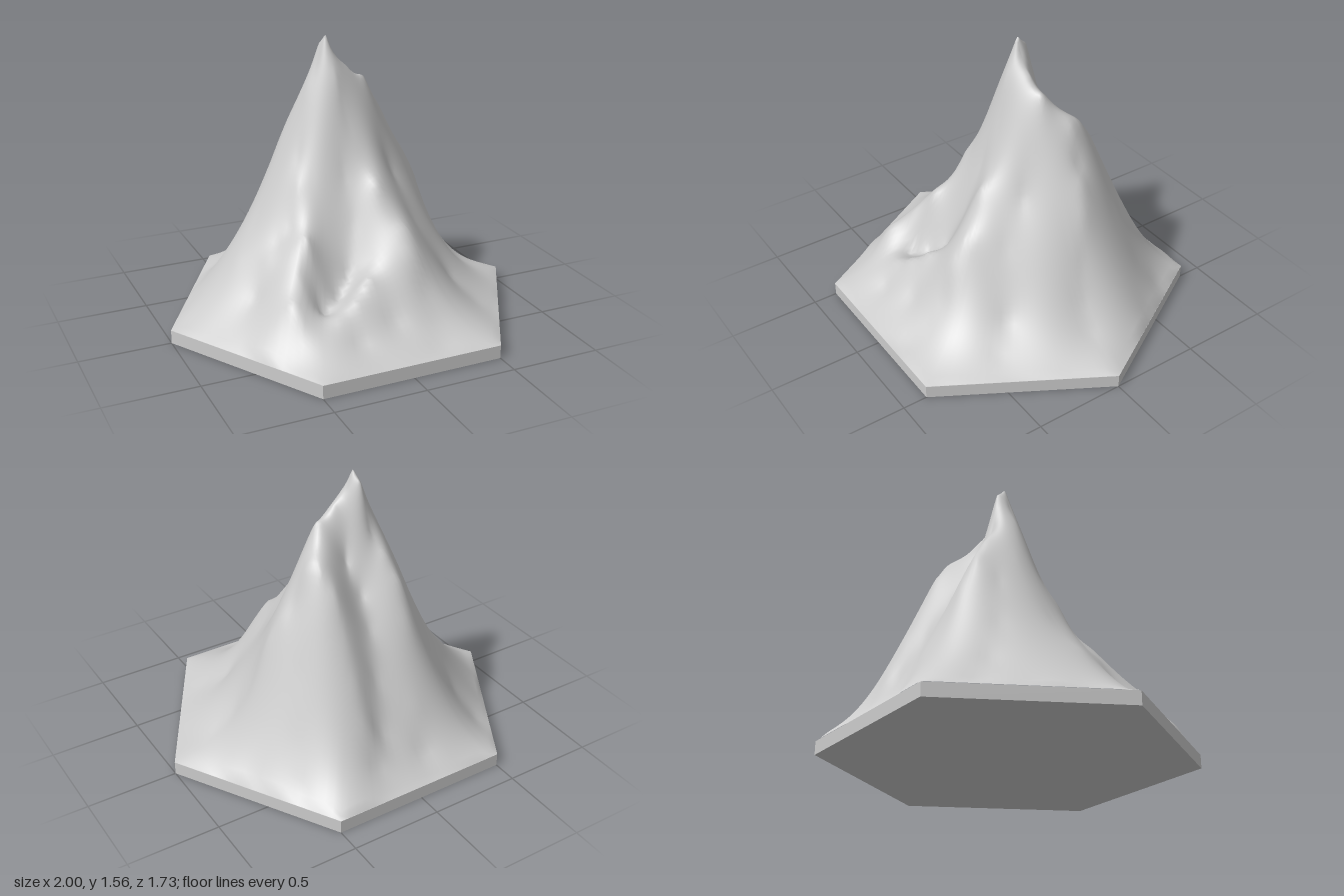
import * as THREE from 'three';

const BASE = 0.075;
const PEAK = [-0.06, 1.56, -0.09];

// Ridges, gullies and flanks as lines of [x, y, z] running downhill from the peak
const eastRidge = [[-0.03, 1.48, -0.09], [0.05, 1.39, -0.09], [0.16, 1.32, -0.09], [0.21, 1.23, -0.13],
  [0.29, 1.14, -0.2], [0.35, 0.97, -0.19], [0.42, 0.88, -0.17], [0.49, 0.73, -0.13], [0.56, 0.48, -0.08],
  [0.64, 0.29, -0.02], [0.74, 0.18, 0], [0.9, 0.11, 0]];
const shoulderBack = [[0.25, 1.15, -0.27], [0.21, 1.03, -0.36], [0.2, 0.8, -0.46], [0.2, 0.6, -0.55],
  [0.2, 0.4, -0.64], [0.2, 0.2, -0.73]];
const backGully = [[0.04, 1.12, -0.19], [0.01, 0.95, -0.29], [0.02, 0.79, -0.39], [0.06, 0.56, -0.51],
  [0.11, 0.33, -0.63]];
const backRidge = [[-0.07, 1.5, -0.15], [-0.1, 1.25, -0.2], [-0.14, 1.14, -0.28], [-0.18, 1.01, -0.36],
  [-0.18, 0.81, -0.45], [-0.16, 0.6, -0.53], [-0.12, 0.39, -0.63], [-0.1, 0.18, -0.73]];
const westRidge = [[-0.11, 1.42, -0.09], [-0.17, 1.3, -0.09], [-0.22, 1.18, -0.12], [-0.29, 1.0, -0.17],
  [-0.37, 0.81, -0.16], [-0.47, 0.6, -0.08], [-0.62, 0.4, -0.02], [-0.79, 0.2, 0], [-0.92, 0.1, 0]];
const westShelf = [[-0.26, 0.95, 0], [-0.3, 0.8, 0.09], [-0.37, 0.61, 0.14], [-0.44, 0.53, 0.13],
  [-0.51, 0.45, 0.16], [-0.6, 0.27, 0.22]];
const frontRidge = [[-0.04, 1.34, 0.005], [-0.02, 1.2, 0.04], [0, 1.1, 0.07], [0.05, 0.94, 0.14],
  [0.08, 0.82, 0.25], [0.17, 0.67, 0.33], [0.18, 0.61, 0.41], [0.18, 0.49, 0.5], [0.2, 0.33, 0.56],
  [0.22, 0.18, 0.68], [0.2, 0.1, 0.79]];
const frontGully = [[-0.06, 0.86, 0.14], [-0.05, 0.62, 0.25]];
const frontHollow = [[-0.22, 0.86, 0.1], [-0.21, 0.56, 0.25], [-0.12, 0.36, 0.34], [-0.21, 0.27, 0.4],
  [-0.32, 0.23, 0.45]];
const hollowLip = [[-0.03, 0.45, 0.39], [-0.09, 0.4, 0.48], [-0.18, 0.32, 0.54], [-0.28, 0.26, 0.58],
  [-0.22, 0.15, 0.69], [0, 0.21, 0.63]];
const frontWestSpur = [[-0.33, 0.58, 0.29], [-0.41, 0.43, 0.38], [-0.49, 0.33, 0.5], [-0.53, 0.19, 0.58],
  [-0.55, 0.1, 0.7]];
const frontEastFlank = [[0.25, 0.82, 0.08], [0.31, 0.58, 0.24], [0.42, 0.48, 0.2], [0.48, 0.26, 0.35],
  [0.58, 0.14, 0.47]];
const backEastFlank = [[0.43, 0.66, -0.37], [0.53, 0.32, -0.49], [0.58, 0.14, -0.6]];
const backWestFlank = [[-0.3, 0.83, -0.3], [-0.4, 0.54, -0.37], [-0.48, 0.29, -0.48], [-0.55, 0.13, -0.6]];

// Point on the hexagon's rim, u from 0 to 6, corners at whole numbers
function rimPoint(u) {
  const k = Math.floor(u), f = u - k;
  const a = k * Math.PI / 3, b = (k + 1) * Math.PI / 3;
  return [Math.cos(a) * (1 - f) + Math.cos(b) * f, Math.sin(a) * (1 - f) + Math.sin(b) * f];
}

// Surface through all the control points: a sum of cones, solved by elimination
function makeHeight(points) {
  const n = points.length;
  const dist = (x, z, p) => Math.sqrt((x - p[0]) ** 2 + (z - p[2]) ** 2 + 0.00002);
  const m = points.map((p) => [...points.map((q) => dist(p[0], p[2], q)), p[1] - BASE]);
  for (let c = 0; c < n; c++) {
    let best = c;
    for (let r = c + 1; r < n; r++) if (Math.abs(m[r][c]) > Math.abs(m[best][c])) best = r;
    [m[c], m[best]] = [m[best], m[c]];
    for (let r = 0; r < n; r++) {
      if (r === c) continue;
      const f = m[r][c] / m[c][c];
      for (let k = c; k <= n; k++) m[r][k] -= f * m[c][k];
    }
  }
  const w = m.map((row, i) => row[n] / row[i]);
  return (x, z) => BASE + Math.max(0, points.reduce((s, p, i) => s + w[i] * dist(x, z, p), 0));
}

// Rings spread from the peak out to the hexagonal rim
function mountainGeometry() {
  const rim = [];
  for (let i = 0; i < 24; i++) {
    const [x, z] = rimPoint(i / 4);
    rim.push([x, BASE, z]);
  }
  const height = makeHeight([PEAK, ...eastRidge, ...shoulderBack, ...backGully, ...backRidge, ...westRidge,
    ...westShelf, ...frontRidge, ...frontGully, ...frontHollow, ...hollowLip, ...frontWestSpur,
    ...frontEastFlank, ...backEastFlank, ...backWestFlank, ...rim]);
  const rings = 48, around = 120;
  const pos = [...PEAK], index = [];
  for (let r = 1; r <= rings; r++) {
    const t = Math.pow(r / rings, 1.15);
    for (let i = 0; i < around; i++) {
      const [ex, ez] = rimPoint(i * 6 / around);
      const x = PEAK[0] + (ex - PEAK[0]) * t, z = PEAK[2] + (ez - PEAK[2]) * t;
      pos.push(x, r === rings ? BASE : height(x, z), z);
    }
  }
  const at = (r, i) => 1 + (r - 1) * around + i % around;
  for (let i = 0; i < around; i++) {
    index.push(0, at(1, i + 1), at(1, i));
    for (let r = 1; r < rings; r++) {
      index.push(at(r, i), at(r, i + 1), at(r + 1, i));
      index.push(at(r, i + 1), at(r + 1, i + 1), at(r + 1, i));
    }
  }
  const geometry = new THREE.BufferGeometry();
  geometry.setAttribute('position', new THREE.Float32BufferAttribute(pos, 3));
  geometry.setIndex(index);
  geometry.computeVertexNormals();
  return geometry;
}

export function createModel() {
  const group = new THREE.Group();
  group.name = 'mountainTile';
  const grey = new THREE.MeshStandardMaterial({ color: 0xcccccc });

  // Hexagonal plate with corners on the x axis
  const plateGeometry = new THREE.CylinderGeometry(1, 1, BASE - 0.002, 6).toNonIndexed();
  plateGeometry.rotateY(Math.PI / 6);
  plateGeometry.computeVertexNormals();
  plateGeometry.translate(0, (BASE - 0.002) / 2, 0);
  const plate = new THREE.Mesh(plateGeometry, grey);
  plate.name = 'hexagonalBase';

  // Terrain rising to one peak
  const mountain = new THREE.Mesh(mountainGeometry(), grey);
  mountain.name = 'mountain';

  group.add(plate, mountain);
  return group;
}
